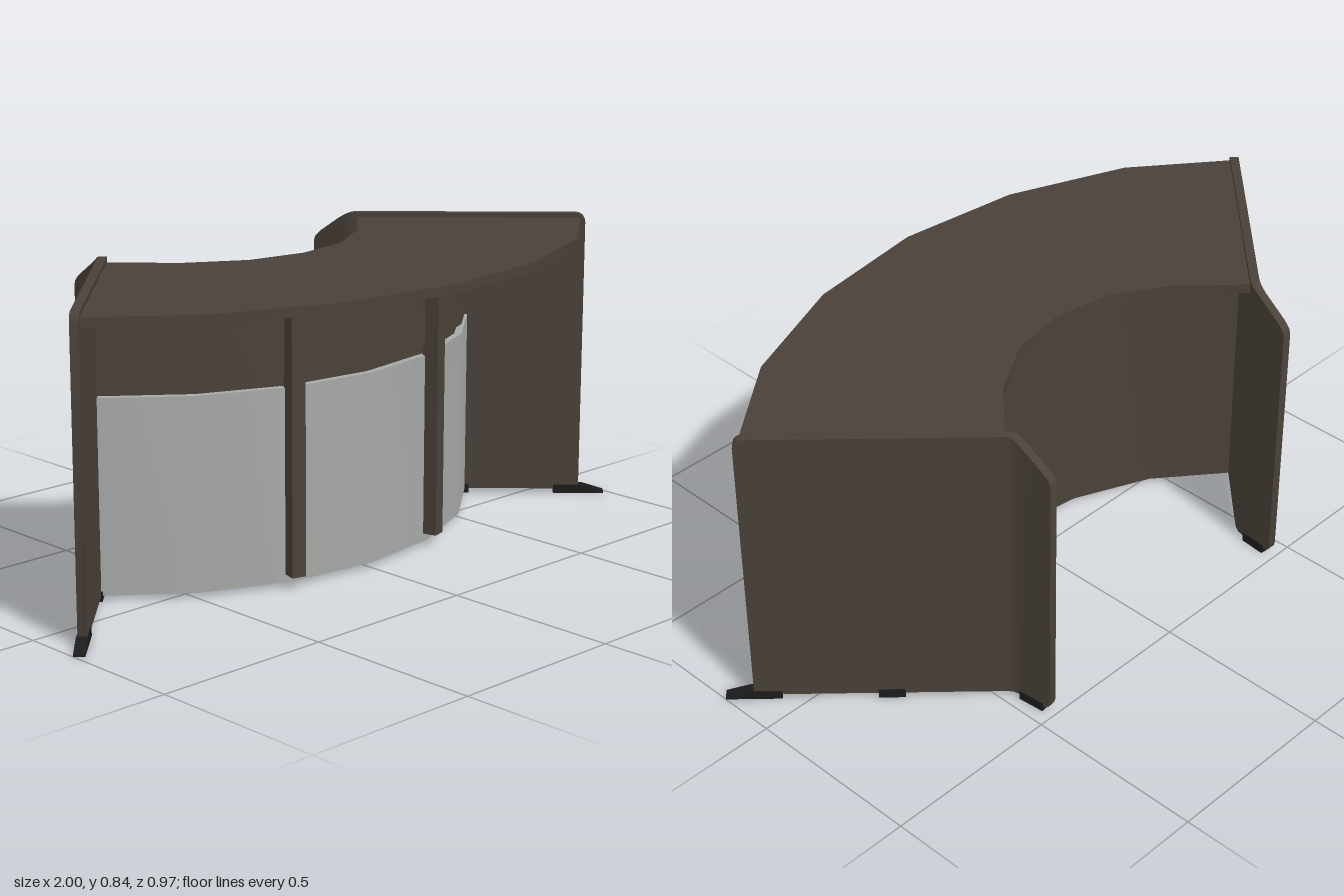
import * as THREE from 'three';
import { toCreasedNormals } from 'three/addons/utils/BufferGeometryUtils.js';

const brown = new THREE.MeshStandardMaterial({ name: 'dark brown', color: 0x4a4139 });
const grey = new THREE.MeshStandardMaterial({ name: 'light grey', color: 0xa6a9a7 });
const black = new THREE.MeshStandardMaterial({ name: 'black', color: 0x1d1c1d });

const CENTRE_Z = -0.77;   // centre of the curved wall
const WALL_R = 0.955;     // its outer radius
const HALF = 0.816;       // its half angle
const SEGMENTS = 6;

// Horizontal slab from an outline of [x, z] points
function slab(points, y0, y1) {
  const shape = new THREE.Shape(points.map(([x, z]) => new THREE.Vector2(x, z)));
  const geo = new THREE.ExtrudeGeometry(shape, { depth: y1 - y0, bevelEnabled: false });
  geo.rotateX(Math.PI / 2).translate(0, y1, 0);
  return toCreasedNormals(geo, 0.6);
}

// Curved wall section between two radii
function arcWall(rIn, rOut, y0, y1) {
  const outer = [], inner = [];
  for (let i = 0; i <= SEGMENTS; i++) {
    const t = i / SEGMENTS * 2 - 1;
    const at = (r) => [r * Math.sin(t * HALF), CENTRE_Z + r * Math.cos(t * HALF)];
    outer.push(at(rOut));
    inner.unshift(at(rIn));
  }
  return slab([...outer, ...inner], y0, y1);
}

// Bent upright panel from columns [x, z, bottom, top]
function bentPanel(columns, thickness) {
  const pos = [], index = [], h = thickness / 2;
  columns.forEach(([x, z, yb, yt], i) => {
    const a = columns[Math.max(i - 1, 0)], b = columns[Math.min(i + 1, columns.length - 1)];
    const len = Math.hypot(b[0] - a[0], b[1] - a[1]);
    const nx = -(b[1] - a[1]) / len * h, nz = (b[0] - a[0]) / len * h;
    pos.push(x + nx, yb, z + nz, x + nx, yt, z + nz, x - nx, yt, z - nz, x - nx, yb, z - nz);
  });
  for (let i = 0; i < columns.length - 1; i++) {
    for (let k = 0; k < 4; k++) {
      const a = i * 4 + k, b = i * 4 + (k + 1) % 4;
      index.push(a, b + 4, b, a, a + 4, b + 4);
    }
  }
  const e = (columns.length - 1) * 4;
  index.push(0, 1, 2, 0, 2, 3, e, e + 2, e + 1, e, e + 3, e + 2);
  const geo = new THREE.BufferGeometry();
  geo.setAttribute('position', new THREE.Float32BufferAttribute(pos, 3));
  geo.setIndex(index);
  return toCreasedNormals(geo, 0.6);
}

// Side profile [along, y] given a width, then aimed along (dx, dz)
function foot(profile, width, x, z, dx, dz) {
  const shape = new THREE.Shape(profile.map(([s, y]) => new THREE.Vector2(s, y)));
  const geo = new THREE.ExtrudeGeometry(shape, { depth: width, bevelEnabled: false });
  return geo.translate(0, 0, -width / 2).rotateY(Math.atan2(-dz, dx)).translate(x, 0, z);
}

// Mirror across x, keeping faces outward
function mirrored(geo) {
  const out = geo.index ? geo.toNonIndexed() : geo.clone();
  for (const name of ['position', 'normal']) {
    const a = out.getAttribute(name).array;
    for (let i = 0; i < a.length; i += 9) {
      for (let k = 0; k < 3; k++) {
        const swap = a[i + 3 + k];
        a[i + 3 + k] = a[i + 6 + k];
        a[i + 6 + k] = swap;
      }
      for (let k = 0; k < 9; k += 3) a[i + k] *= -1;
    }
  }
  return out;
}

export function createModel() {
  const model = new THREE.Group();
  model.name = 'receptionDesk';
  const add = (name, geo, mat) => {
    const mesh = new THREE.Mesh(geo, mat);
    mesh.name = name;
    model.add(mesh);
  };
  const addPair = (name, geo, mat) => {
    add(name + 'Left', geo, mat);
    add(name + 'Right', mirrored(geo), mat);
  };

  // Curved worktop
  const front = [[0.92, 0.115], [0.68, 0.305], [0.35, 0.437], [0, 0.482]];
  const back = [[0, -0.075], [0.17, -0.105], [0.325, -0.2], [0.463, -0.342]];
  const flip = (pts) => pts.map(([x, z]) => [-x, z]).reverse();
  add('worktop', slab([...front, ...flip(front).slice(1),
    ...flip(back), ...back.slice(1)], 0.8, 0.826), brown);

  // Curved front wall: pale panel, backing, recessed strip and upper beam
  add('frontPanel', arcWall(WALL_R - 0.07, WALL_R, 0.013, 0.542), grey);
  add('wallBacking', arcWall(WALL_R - 0.08, WALL_R - 0.07, 0.013, 0.8), brown);
  add('recessedStrip', arcWall(WALL_R - 0.07, WALL_R - 0.02, 0.542, 0.57), brown);
  add('upperBeam', arcWall(WALL_R - 0.07, WALL_R, 0.57, 0.8), brown);

  // Front posts
  const post = new THREE.BoxGeometry(0.04, 0.765, 0.047)
    .translate(0, 0.4175, 0.968).rotateY(HALF / 3).translate(0, 0, CENTRE_Z);
  addPair('frontPost', post, brown);

  // Side panel: rounded front edge, straight run, then a bent wing with sloping top
  const columns = [];
  const r = 0.025, bottom = 0.013, top = 0.84;
  for (let i = 0; i <= 4; i++) {
    const a = i / 4 * Math.PI / 2, d = r * (1 - Math.cos(a)) * Math.SQRT1_2;
    const drop = r * (1 - Math.sin(a));
    columns.push([0.937 - d, 0.117 - d, bottom + drop * 0.4, top - drop]);
  }
  columns.push(
    [0.48, -0.34, bottom, top], [0.466, -0.355, bottom, top], [0.457, -0.37, bottom, 0.836],
    [0.453, -0.39, bottom, 0.823], [0.447, -0.462, bottom, 0.775], [0.4455, -0.475, 0.016, 0.764],
    [0.4447, -0.483, 0.023, 0.755], [0.4443, -0.487, 0.036, 0.742]);
  addPair('sidePanel', bentPanel(columns, 0.024), brown);

  // Feet: long wedge at the front, blocks in the middle and under the wing
  const block = (l) => [[-l / 2, 0], [l / 2, 0], [l / 2, 0.025], [-l / 2, 0.025]];
  addPair('frontFoot', foot([[0, 0], [0.148, 0], [0.148, 0.006], [0.085, 0.025], [0, 0.025]],
    0.03, 0.885, 0.065, 1, 1), black);
  addPair('middleFoot', foot(block(0.07), 0.032, 0.683, -0.137, 1, 1), black);
  addPair('wingFoot', foot(block(0.075), 0.032, 0.449, -0.428, -0.008, -0.087), black);

  return model;
}
